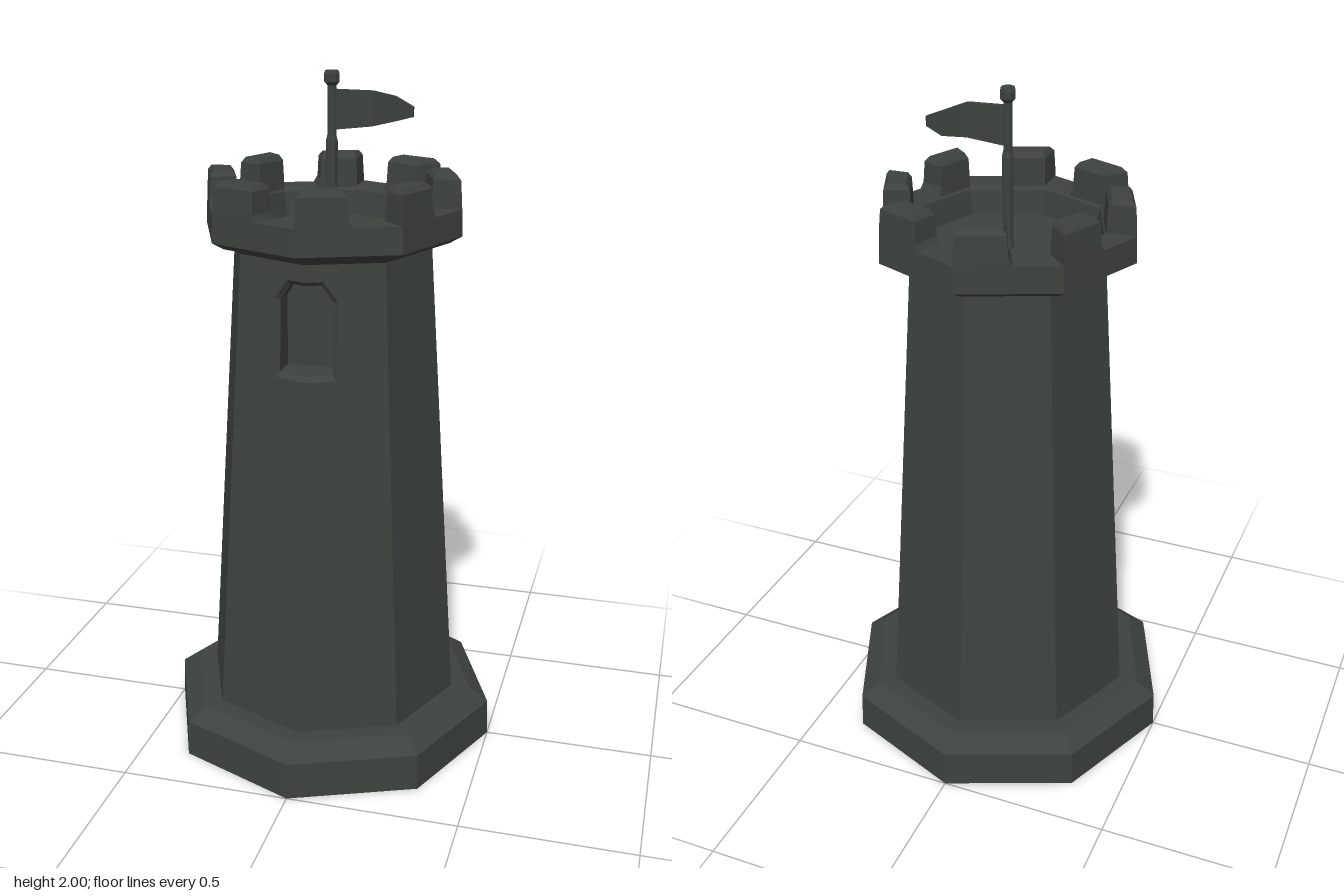
import * as THREE from 'three';

const SIDES = 8;
const stone = new THREE.MeshStandardMaterial({ color: 0x3d423f, flatShading: true });

function add(parent, name, geometry) {
  const mesh = new THREE.Mesh(geometry, stone);
  mesh.name = name;
  parent.add(mesh);
  return mesh;
}

const octagonLathe = (profile) =>
  new THREE.LatheGeometry(profile.map(([r, y]) => new THREE.Vector2(r, y)), SIDES);

// Joins equal-sized rings of [x, y, z] points; convex ends can be capped.
function loft(rings, capStart = true, capEnd = true) {
  const n = rings[0].length, index = [];
  for (let k = 0; k < rings.length - 1; k++) {
    for (let i = 0; i < n; i++) {
      const a = k * n + i, b = k * n + (i + 1) % n;
      index.push(a, b, a + n, b, b + n, a + n);
    }
  }
  const end = (rings.length - 1) * n;
  for (let i = 1; i < n - 1; i++) {
    if (capStart) index.push(0, i + 1, i);
    if (capEnd) index.push(end, end + i, end + i + 1);
  }
  const g = new THREE.BufferGeometry();
  g.setAttribute('position', new THREE.Float32BufferAttribute(rings.flat(2), 3));
  g.setIndex(index);
  g.computeVertexNormals();
  return g;
}

// Tapered shaft: radius by height, and the depth of its two front faces
const Y0 = 0.15, Y1 = 1.53, R0 = 0.383, R1 = 0.29;
const radiusAt = (y) => R0 + (R1 - R0) * (y - Y0) / (Y1 - Y0);
const frontZ = (x, y) => radiusAt(y) - Math.abs(x) * Math.tan(Math.PI / 8);

// Right half of the window outline, bottom to top
const windowHalf = [[0, 1.2], [0.088, 1.2], [0.088, 1.42], [0.05, 1.475], [0, 1.475]];

function frontFace(side) {
  const c = Math.SQRT1_2;
  const outline = [[0, Y0], [R0 * c, Y0], [R1 * c, Y1], [0, Y1], ...[...windowHalf].reverse()];
  const g = new THREE.ShapeGeometry(
    new THREE.Shape(outline.map(([x, y]) => new THREE.Vector2(side * x, y))));
  const p = g.attributes.position;
  for (let i = 0; i < p.count; i++) p.setZ(i, frontZ(p.getX(i), p.getY(i)));
  g.computeVertexNormals();
  return g;
}

function windowRecess() {
  const mirrored = windowHalf.slice(1, -1).reverse().map(([x, y]) => [-x, y]);
  const outer = [...windowHalf, ...mirrored];
  const inner = outer.map(([x, y]) => [x * 0.86, 1.34 + (y - 1.34) * 0.91]);
  return loft([
    outer.map(([x, y]) => [x, y, frontZ(x, y)]),
    inner.map(([x, y]) => [x, y, frontZ(x, y) - 0.014]),
    inner.map(([x, y]) => [x, y, 0.19]),
  ], false, true);
}

// Point on an octagon's first side, u from 0 to 1 along it
function onSide(r, u, y) {
  const c = Math.SQRT1_2;
  return [r * c * u, y, r * (1 + (c - 1) * u)];
}

// Battlement block on the first half of a side, flared at the foot and bevelled on top
function merlonGeometry() {
  const ring = (y, rOut, rIn, u0, u1) =>
    [onSide(rOut, u0, y), onSide(rOut, u1, y), onSide(rIn, u1, y), onSide(rIn, u0, y)];
  return loft([
    ring(1.63, 0.372, 0.285, 0, 0.55),
    ring(1.655, 0.371, 0.286, 0, 0.5),
    ring(1.715, 0.367, 0.289, 0.01, 0.49),
    ring(1.73, 0.356, 0.3, 0.05, 0.45),
  ]);
}

export function createModel() {
  const tower = new THREE.Group();
  tower.name = 'tower';

  // Plinth
  add(tower, 'base', octagonLathe([[0, 0], [0.5, 0], [0.497, 0.11], [0.44, 0.15], [0.36, 0.15]]));

  // Shaft: six plain sides, and two front sides cut by the window
  const shaft = new THREE.CylinderGeometry(
    R1, R0, Y1 - Y0, 6, 1, true, Math.PI / 4, Math.PI * 1.5);
  shaft.translate(0, (Y0 + Y1) / 2, 0);
  add(tower, 'shaft', shaft);
  add(tower, 'shaftFrontLeft', frontFace(1));
  add(tower, 'shaftFrontRight', frontFace(-1));
  add(tower, 'windowRecess', windowRecess());

  // Overhanging parapet with its sunken floor
  add(tower, 'parapet', octagonLathe([
    [0.288, 1.52], [0.3, 1.53], [0.34, 1.54], [0.375, 1.56], [0.372, 1.635],
    [0.292, 1.635], [0.281, 1.622], [0.27, 1.55], [0, 1.55],
  ]));

  // One battlement on each side
  const battlements = new THREE.Group();
  battlements.name = 'battlements';
  tower.add(battlements);
  const merlon = merlonGeometry();
  for (let i = 0; i < SIDES; i++) {
    add(battlements, 'merlon', merlon).rotation.y = i * Math.PI / 4;
  }

  // Flagpole, thicker below, with a flat knob on top
  add(tower, 'flagpole', octagonLathe([
    [0.02, 1.55], [0.017, 1.58], [0.017, 1.81], [0.013, 1.825], [0.013, 1.96],
    [0.022, 1.97], [0.022, 1.99], [0.019, 2], [0, 2],
  ]));

  // Waving flag: x, z, bottom and top of each section
  const sections = [
    [0.008, 0, 1.84, 1.95], [0.115, -0.006, 1.852, 1.948],
    [0.17, -0.048, 1.862, 1.93], [0.224, -0.03, 1.878, 1.905],
  ];
  const t = 0.006;
  add(tower, 'flag', loft(sections.map(([x, z, low, high]) =>
    [[x, low, z + t], [x, low, z - t], [x, high, z - t], [x, high, z + t]])));

  return tower;
}
